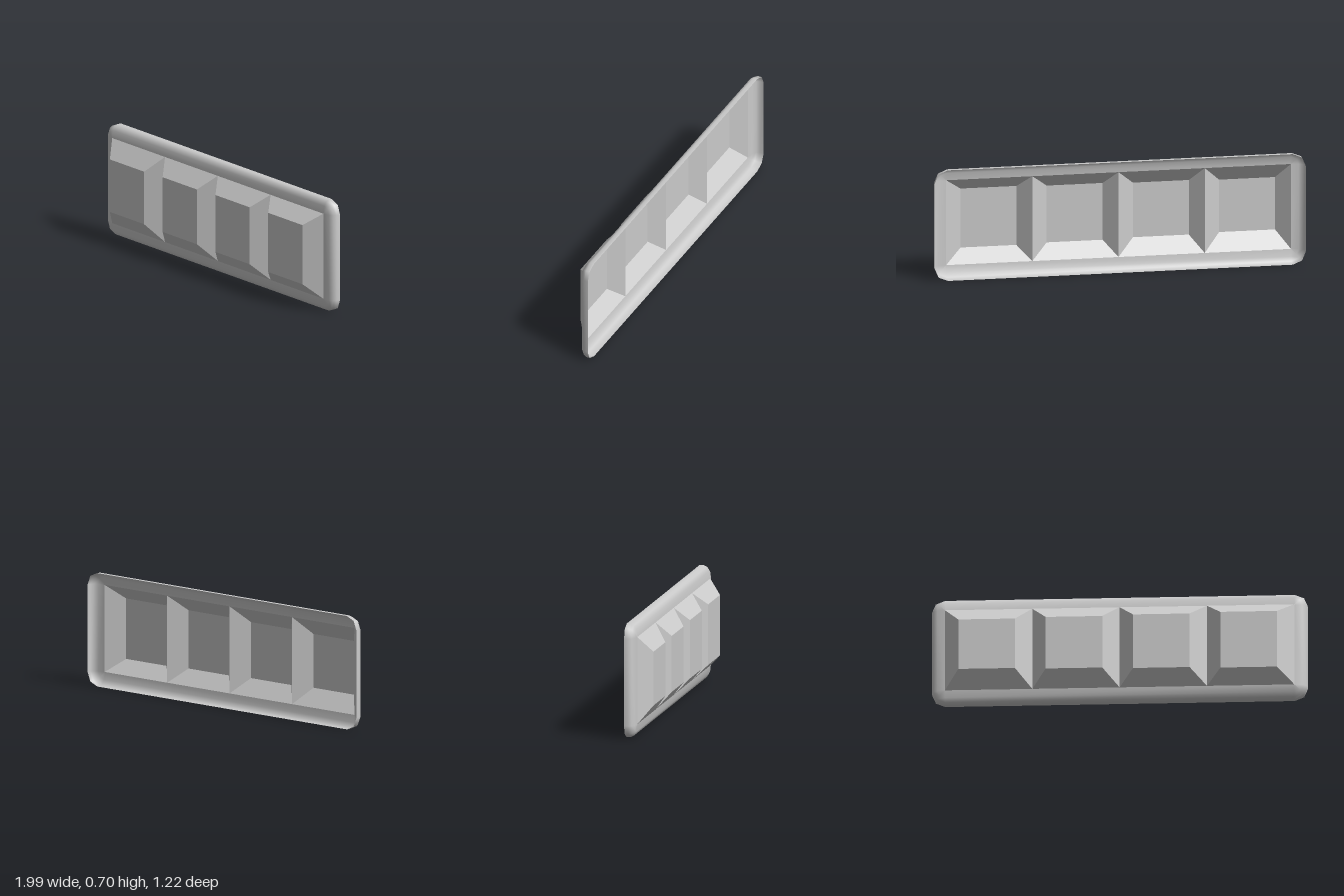
import * as THREE from 'three';

const HALF_W = 1.152, HALF_H = 0.3525, RADIUS = 0.082, BASE_Z = 0.041;
const material = new THREE.MeshStandardMaterial({ color: 0xcccccc, side: THREE.DoubleSide });

// Rounded rectangle, counterclockwise, shrunk by an inset; two facets per corner
function ring(inset, z) {
  const r = RADIUS - inset, cx = HALF_W - RADIUS, cy = HALF_H - RADIUS;
  const points = [];
  [[1, 1], [-1, 1], [-1, -1], [1, -1]].forEach(([sx, sy], corner) => {
    for (let i = 0; i <= 2; i++) {
      const a = (corner + i / 2) * Math.PI / 2;
      points.push([sx * cx + r * Math.cos(a), sy * cy + r * Math.sin(a), z]);
    }
  });
  return points;
}

// Skin between cross-sections of equal point count
function loft(sections, flat) {
  const n = sections[0].length, index = [];
  for (let s = 0; s < sections.length - 1; s++) {
    for (let i = 0; i < n; i++) {
      const a = s * n + i, b = s * n + (i + 1) % n;
      index.push(a, b, b + n, a, b + n, a + n);
    }
  }
  if (flat) {
    const t = (sections.length - 1) * n; // four-cornered cap
    index.push(t, t + 1, t + 2, t, t + 2, t + 3);
  }
  let geometry = new THREE.BufferGeometry();
  geometry.setAttribute('position', new THREE.Float32BufferAttribute(sections.flat(2), 3));
  geometry.setIndex(index);
  if (flat) geometry = geometry.toNonIndexed();
  geometry.computeVertexNormals();
  return geometry;
}

const rectangle = (x0, x1, y0, y1, z) => [[x0, y0, z], [x1, y0, z], [x1, y1, z], [x0, y1, z]];

export function createModel() {
  const model = new THREE.Group();
  model.name = 'louveredPanel';
  const panel = new THREE.Group();
  panel.name = 'panel';
  panel.position.set(-0.003, HALF_H, -0.002);
  panel.rotation.y = THREE.MathUtils.degToRad(-31);
  model.add(panel);

  // Thin rounded rim, open at the back
  const profile = [[0, -0.025], [0, 0], [0.01, 0.02], [0.035, 0.035], [RADIUS, BASE_Z]];
  const rim = new THREE.Mesh(loft(profile.map(([d, z]) => ring(d, z))), material);
  rim.name = 'rim';
  panel.add(rim);

  // Four hollow raised trays, each slightly taller than the one before
  const inX = HALF_W - RADIUS, inY = HALF_H - RADIUS, step = inX / 2;
  for (let i = 0; i < 4; i++) {
    const x = -inX + i * step, h = 0.166 + i * 0.007;
    const geometry = loft([
      rectangle(x, x + step, -inY, inY, BASE_Z),
      rectangle(x + 0.085, x + step - 0.103, -h, h + 0.002, 0.124),
    ], true);
    const tray = new THREE.Mesh(geometry, material);
    tray.name = `raisedTray${i + 1}`;
    panel.add(tray);
  }
  return model;
}
